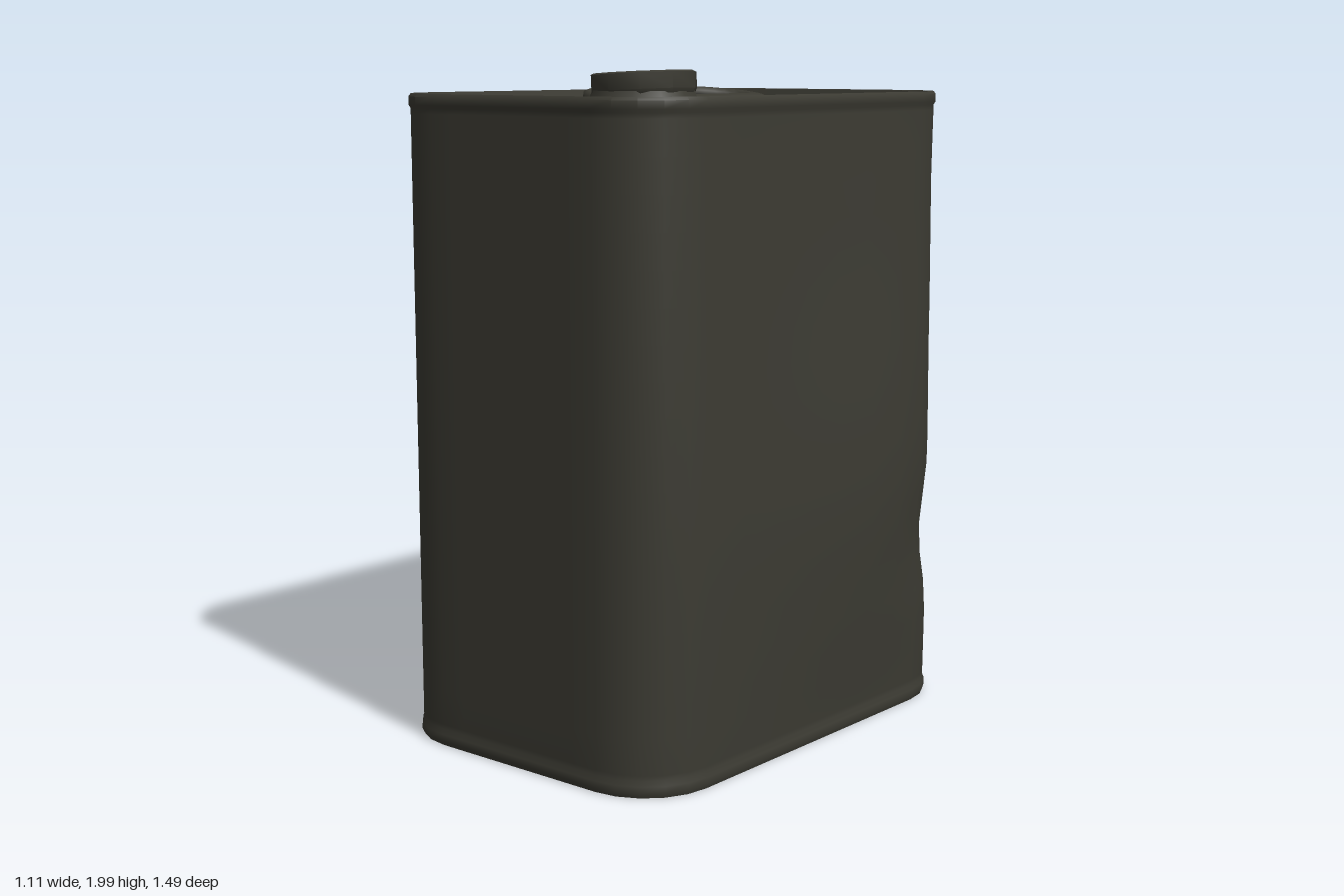
import * as THREE from 'three';
import { toCreasedNormals } from 'three/addons/utils/BufferGeometryUtils.js';

const CX = -0.02; // the dented can sits slightly off centre

// Rounded rectangle in x/z, subdivided along the straight sides
function outline(inset) {
  const hx = 0.525 - inset, hz = 0.737 - inset, r = 0.22 - inset;
  const corners = [];
  for (const [sx, sz, start] of [[1, 1, 0], [-1, 1, 1], [-1, -1, 2], [1, -1, 3]]) {
    for (let k = 0; k <= 5; k++) {
      const a = (start + k / 5) * Math.PI / 2;
      corners.push([sx * (hx - r) + r * Math.cos(a), sz * (hz - r) + r * Math.sin(a)]);
    }
  }
  const points = [];
  corners.forEach((p, i) => {
    const q = corners[(i + 1) % corners.length];
    const steps = i % 6 === 5 ? 7 : 1;
    for (let s = 0; s < steps; s++) {
      const t = s / steps;
      points.push([p[0] + (q[0] - p[0]) * t, p[1] + (q[1] - p[1]) * t]);
    }
  });
  return points;
}

// Bell curve with separate widths below and above its centre
const bump = (d, below, above = below) => Math.exp(-((d / (d < 0 ? below : above)) ** 2));

// Knocks in the sheet metal: swollen side, pressed back, nicked rear corner
function dent(x, y, z) {
  const fade = THREE.MathUtils.smoothstep(Math.min(y - 0.06, 1.87 - y), 0, 0.2);
  const side = THREE.MathUtils.smoothstep(x, 0.3, 0.5);
  const back = THREE.MathUtils.smoothstep(-z, 0.5, 0.72);
  const swell = 0.05 * side * bump(y - 0.75, 0.5, 0.65) * bump(z + 0.3, 0.27, 0.65);
  const press = back * (0.036 * bump(y - 0.93, 0.17, 0.22) * bump(x + 0.2, 0.8)
    + 0.01 * THREE.MathUtils.smoothstep(y, 0.6, 1));
  const nick = 0.025 * bump(y - 0.56, 0.16) * bump(x - 0.42, 0.2) * bump(z + 0.65, 0.2);
  return [x + (swell - nick) * fade, z + (press + nick) * fade];
}

// Lofted skin through rings given as [height, inset]
function loft(levels) {
  const pos = [], index = [];
  const n = outline(0).length;
  for (const [y, inset] of levels) {
    for (const [x, z] of outline(inset)) {
      const [px, pz] = dent(x, y, z);
      pos.push(px + CX, y, pz);
    }
  }
  for (let i = 0; i < levels.length - 1; i++) {
    for (let j = 0; j < n; j++) {
      const a = i * n + j, b = i * n + (j + 1) % n;
      index.push(a, a + n, b, b, a + n, b + n);
    }
  }
  // flat ends closed with fans
  const last = (levels.length - 1) * n;
  const bottom = pos.length / 3;
  pos.push(CX, levels[0][0], 0, CX, levels[levels.length - 1][0], 0);
  for (let j = 0; j < n; j++) {
    const k = (j + 1) % n;
    index.push(bottom, j, k, bottom + 1, last + k, last + j);
  }
  const geo = new THREE.BufferGeometry();
  geo.setAttribute('position', new THREE.Float32BufferAttribute(pos, 3));
  geo.setIndex(index);
  return toCreasedNormals(geo, 0.7);
}

export function createModel() {
  const group = new THREE.Group();
  const paint = new THREE.MeshStandardMaterial({ color: 0x3c3b33 });
  paint.name = 'dark olive paint';
  const add = (name, geo) => {
    const mesh = new THREE.Mesh(geo, paint);
    mesh.name = name;
    group.add(mesh);
    return mesh;
  };

  // Can body with rolled seams at both ends and recessed end panels
  const levels = [[0.018, 0.03], [0.008, 0.015], [0.006, 0], [0.02, -0.006], [0.04, -0.005], [0.055, 0.001]];
  for (let i = 0; i <= 18; i++) levels.push([0.07 + i * 0.1, 0]);
  levels.push([1.885, 0], [1.895, -0.006], [1.918, -0.006], [1.927, 0.001], [1.926, 0.012], [1.882, 0.026]);
  add('canBody', loft(levels));

  // Wire loop lying on the lid, its free side raised
  const tilt = (x) => 1.885 - (x - 0.1) * 0.11;
  const loop = [[0.05, -0.28], [0.03, -0.35], [-0.02, -0.4], [-0.1, -0.42], [-0.18, -0.38], [-0.24, -0.29],
    [-0.257, -0.16], [-0.255, 0.06], [-0.23, 0.17], [-0.16, 0.25], [-0.08, 0.275], [0.0, 0.26], [0.06, 0.2], [0.08, 0.12]];
  const path = new THREE.CatmullRomCurve3(loop.map(([x, z]) => new THREE.Vector3(x, tilt(x), z)));
  add('handleWire', new THREE.TubeGeometry(path, 40, 0.018, 6));

  // Hinge sleeve half sunk into the lid
  const from = new THREE.Vector3(0.05, 1.872, -0.285), to = new THREE.Vector3(0.08, 1.872, 0.13);
  const dir = to.clone().sub(from);
  const sleeve = add('handleSleeve', toCreasedNormals(new THREE.CylinderGeometry(0.05, 0.05, dir.length(), 12), 0.7));
  sleeve.position.copy(from).add(to).multiplyScalar(0.5);
  sleeve.quaternion.setFromUnitVectors(new THREE.Vector3(0, 1, 0), dir.normalize());

  // Flared spout neck pressed out of the lid
  const neck = [[0.185, 0], [0.168, 0.012], [0.153, 0.03], [0.143, 0.06]];
  add('spoutNeck', new THREE.LatheGeometry(neck.map((p) => new THREE.Vector2(...p)), 12)).position.set(0.265, 1.88, 0.5);

  // Screw cap, sitting a little crooked
  const cap = [[0.142, 0], [0.148, 0.012], [0.148, 0.056], [0.14, 0.06], [0, 0.062]];
  const capGeo = new THREE.LatheGeometry(cap.map((p) => new THREE.Vector2(...p)), 10);
  const lid = add('spoutCap', toCreasedNormals(capGeo, 0.7));
  lid.position.set(0.268, 1.93, 0.497);
  lid.rotation.z = 0.05;

  return group;
}
